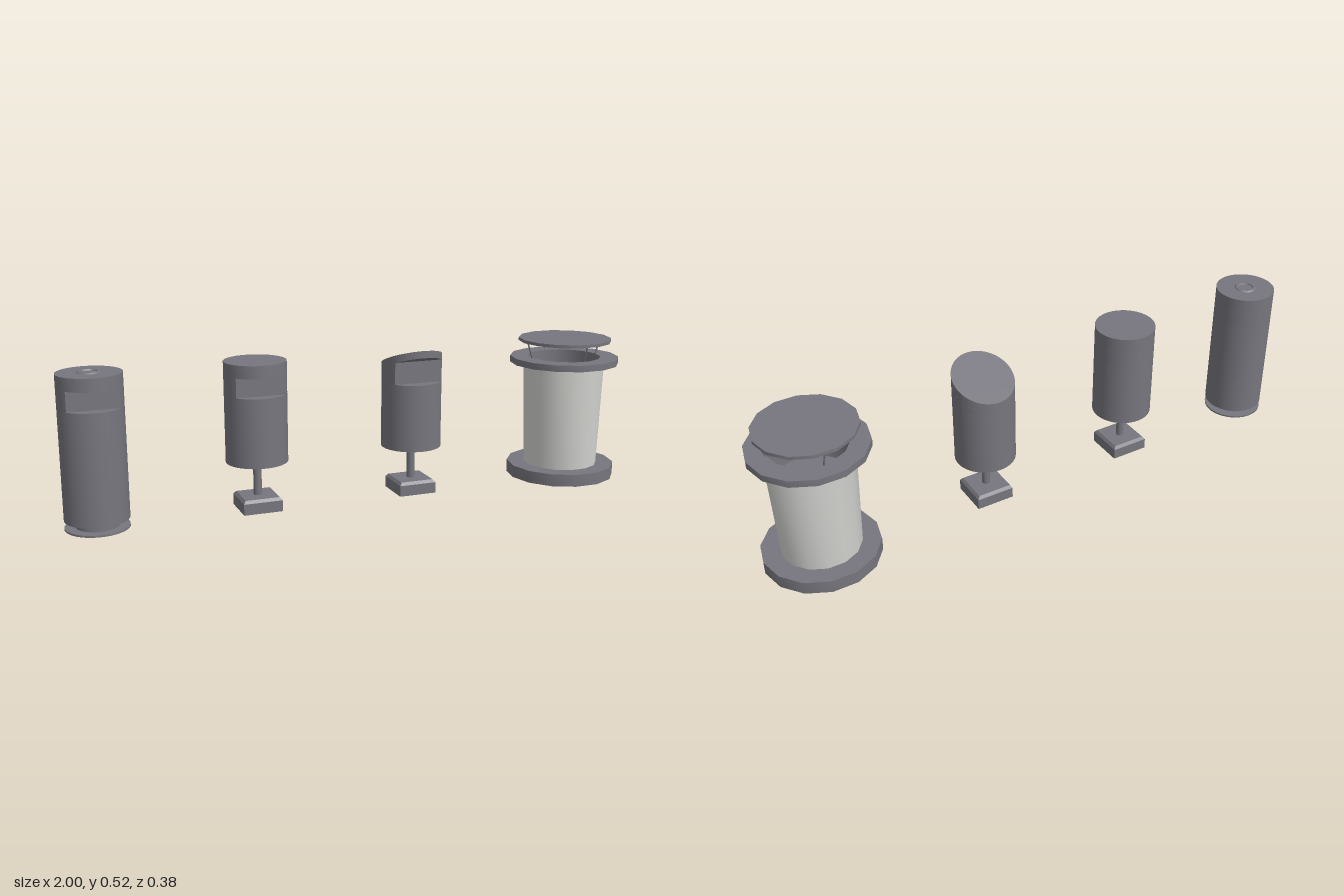
import * as THREE from 'three';
import { toCreasedNormals } from 'three/addons/utils/BufferGeometryUtils.js';

const R = 0.104;
const grey = new THREE.MeshStandardMaterial({ color: 0x77767e });
grey.name = 'dark grey metal';
const pale = new THREE.MeshStandardMaterial({ color: 0xd2d2cf });
pale.name = 'pale concrete';

function add(parent, name, geometry, material = grey, y = 0) {
  const mesh = new THREE.Mesh(geometry, material);
  mesh.name = name;
  mesh.position.y = y;
  parent.add(mesh);
  return mesh;
}

// Upright drum section between two height rules; chord cuts off the front at z = chord
function drum(bottom, top, chord = R) {
  const h = Math.acos(chord / R);
  const shape = new THREE.Shape();
  shape.absarc(0, 0, R, -Math.PI / 2 + h, 1.5 * Math.PI - h, false);
  const g = new THREE.ExtrudeGeometry(shape, { depth: 1, bevelEnabled: false, curveSegments: 24 });
  g.rotateX(-Math.PI / 2);
  const p = g.attributes.position;
  for (let i = 0; i < p.count; i++) {
    const rule = p.getY(i) > 0.5 ? top : bottom;
    p.setY(i, rule(p.getZ(i)));
  }
  return toCreasedNormals(g, 0.6);
}

// Drum with a front slot, in three stacked sections
function slottedBody(parent, base, sill, ceiling, roof, chord) {
  add(parent, 'lowerBody', drum(() => base, () => sill));
  add(parent, 'slotBack', drum(() => sill, ceiling, chord));
  add(parent, 'hood', drum(ceiling, roof));
}

// Thin post on a square foot with a bevelled top
function pedestal(parent) {
  add(parent, 'post', new THREE.CylinderGeometry(0.014, 0.014, 0.13, 10), grey, 0.105);
  add(parent, 'foot', new THREE.BoxGeometry(0.134, 0.038, 0.134), grey, 0.019);
  const bevel = new THREE.CylinderGeometry(0.118 / Math.SQRT2, 0.134 / Math.SQRT2, 0.01, 4);
  bevel.rotateY(Math.PI / 4);
  add(parent, 'footBevel', toCreasedNormals(bevel, 0.3), grey, 0.043);
}

// Fourteen-sided revolved part with crisp profile corners
function revolve(points, sides = 14) {
  const g = new THREE.LatheGeometry(points.map(([r, y]) => new THREE.Vector2(r, y)), sides);
  g.rotateY(Math.PI / 2);
  return toCreasedNormals(g, 0.6);
}

function unit(root, name, x) {
  const g = new THREE.Group();
  g.name = name;
  g.position.x = x;
  root.add(g);
  return g;
}

export function createModel() {
  const root = new THREE.Group();
  root.name = 'litterBins';

  // Floor-standing bin with an ash ring on top
  const floorBin = unit(root, 'floorBin', -0.896);
  slottedBody(floorBin, 0.03, 0.397, () => 0.462, () => 0.505, 0.063);
  add(floorBin, 'basePlate', new THREE.CylinderGeometry(R, R, 0.006, 24), grey, 0.003);
  add(floorBin, 'baseCollar', new THREE.CylinderGeometry(0.07, 0.07, 0.026, 24), grey, 0.018);
  add(floorBin, 'ashRing', revolve([[0.04, 0.504], [0.035, 0.509], [0.027, 0.509], [0.024, 0.504]], 20));

  // Flat-topped bin on a post
  const postBin = unit(root, 'postBin', -0.363);
  slottedBody(postBin, 0.165, 0.397, () => 0.462, () => 0.505, 0.063);
  pedestal(postBin);

  // Slanted-roof bin on a post
  const slantBin = unit(root, 'slantedBin', 0.197);
  slottedBody(slantBin, 0.165, 0.397, z => 0.45 + 0.39 * z, z => 0.475 + 0.39 * z, 0.058);
  pedestal(slantBin);

  // Large tapered bin with a raised lid
  const largeBin = unit(root, 'largeBin', 0.805);
  add(largeBin, 'base', revolve([[0, 0], [0.195, 0], [0.195, 0.044], [0, 0.044]]));
  add(largeBin, 'taperedBody', revolve([[0.133, 0.044], [0.145, 0.417]]), pale);
  add(largeBin, 'rim', revolve([[0.14, 0.417], [0.195, 0.417], [0.195, 0.44], [0.13, 0.44], [0.126, 0.3], [0, 0.3]]));
  add(largeBin, 'lid', revolve([[0, 0.496], [0.166, 0.496], [0.166, 0.507], [0, 0.507]]));

  // Four leaning struts carry the lid
  const low = new THREE.Vector3(0.132, 0.438, 0);
  const high = new THREE.Vector3(0.152, 0.498, 0);
  for (let i = 0; i < 4; i++) {
    const turn = new THREE.Group();
    turn.name = 'strutMount';
    turn.rotation.y = i * Math.PI / 2;
    largeBin.add(turn);
    const path = new THREE.LineCurve3(low, high);
    add(turn, 'strut', new THREE.TubeGeometry(path, 1, 0.003, 6));
  }
  return root;
}
